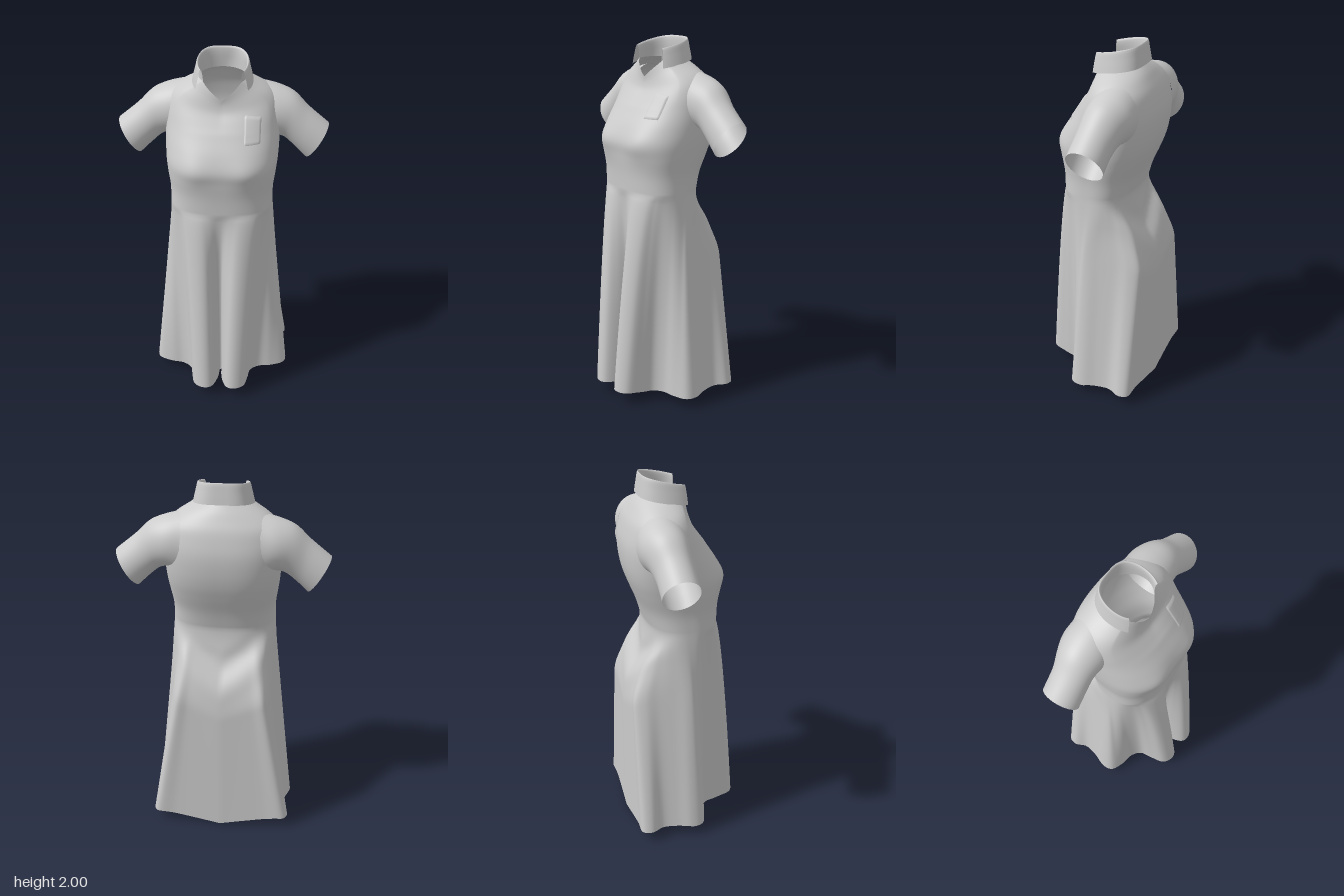
import * as THREE from 'three';

const material = new THREE.MeshStandardMaterial({ color: 0xcccccc, side: THREE.DoubleSide });
const { lerp, clamp, smoothstep } = THREE.MathUtils;
const gauss = (d, width) => Math.exp(-(d * d) / (width * width));

// Surface through fn(u, v) -> [x, y, z]; closed joins the last column to the first.
function surface(name, cols, rows, closed, fn) {
  const n = closed ? cols : cols + 1;
  const positions = [], index = [];
  for (let j = 0; j <= rows; j++)
    for (let i = 0; i < n; i++) positions.push(...fn(i / cols, j / rows));
  for (let j = 0; j < rows; j++)
    for (let i = 0; i < cols; i++) {
      const k = (i + 1) % n;
      const a = j * n + i, b = j * n + k, c = a + n, d = b + n;
      index.push(a, b, d, a, d, c);
    }
  const geometry = new THREE.BufferGeometry();
  geometry.setAttribute('position', new THREE.Float32BufferAttribute(positions, 3));
  geometry.setIndex(index);
  geometry.computeVertexNormals();
  const mesh = new THREE.Mesh(geometry, material);
  mesh.name = name;
  return mesh;
}

// Torso levels: height, half width, front z, back z, z of the widest point, squareness
const levels = [
  [1.20, 0.275, 0.195, -0.185, 0.00, 2.6],
  [1.30, 0.275, 0.20, -0.215, -0.01, 2.6],
  [1.40, 0.288, 0.211, -0.255, -0.03, 2.7],
  [1.47, 0.296, 0.217, -0.28, -0.055, 2.7],
  [1.55, 0.30, 0.187, -0.297, -0.09, 2.6],
  [1.65, 0.30, 0.125, -0.302, -0.12, 2.5],
  [1.72, 0.297, 0.088, -0.29, -0.13, 2.4],
  [1.78, 0.28, 0.058, -0.272, -0.13, 2.3],
  [1.82, 0.24, 0.048, -0.25, -0.115, 2.2],
  [1.86, 0.175, 0.044, -0.225, -0.10, 2.1],
  [1.89, 0.125, 0.045, -0.197, -0.07, 2],
];
const levelSpline = new THREE.CubicInterpolant(
  levels.map((l) => l[0]), levels.flatMap((l) => l.slice(1)), 5);
const WAIST = 1.2, NECK = 1.89, CHEST = 1.65;

// Fullness of the bust on either side of the centre
const bust = (x, y) => 0.014 * gauss(Math.abs(x) - 0.14, 0.08) * gauss(y - 1.47, 0.08);

// Point on the torso section; angle 0 is the front, increasing towards +x
function section(angle, y) {
  const [w, front, back, zc, n] = levelSpline.evaluate(clamp(y, WAIST, NECK));
  const s = Math.sin(angle), c = Math.cos(angle);
  const x = w * Math.sign(s) * Math.abs(s) ** (2 / n);
  const z = zc + (c > 0 ? front - zc : back - zc) * Math.abs(c) ** (2 / n);
  return [x, z + bust(x, y) * smoothstep(c, 0, 0.5)];
}

// The neckline drops to a V at the front
function neckDip(angle, y) {
  if (y < CHEST) return y;
  const a = Math.min(angle, 2 * Math.PI - angle);
  return CHEST + (y - CHEST) * (0.625 + 0.375 * Math.min(1, a / 0.9));
}

// Half outline of the hem (x, z) with its folds, from centre front to centre back
const hem = new THREE.SplineCurve([
  [0.004, 0.13], [0.012, 0.22], [0.04, 0.295], [0.09, 0.312], [0.145, 0.28], [0.165, 0.20],
  [0.178, 0.13], [0.23, 0.09], [0.30, 0.078], [0.375, 0.045], [0.39, -0.02], [0.365, -0.10],
  [0.355, -0.18], [0.385, -0.25], [0.36, -0.305], [0.26, -0.302], [0.13, -0.305], [0, -0.31],
].map(([x, z]) => new THREE.Vector2(x, z)));

function skirtPoint(u, v) {
  const side = u <= 0.5 ? 1 : -1;
  const half = u <= 0.5 ? u * 2 : 2 - u * 2;
  const angle = half * Math.PI;
  const s = Math.sin(angle), c = Math.cos(angle);
  const low = hem.getPoint(half);
  const [wx, wz] = section(angle, WAIST);
  // the back hem hangs lower in the middle
  const hemY = half > 0.6 ? 0.06 - 0.06 * Math.max(0, 1 - low.x / 0.33)
    : 0.055 + 0.015 * smoothstep(low.y, 0.13, 0.28);
  const y = lerp(hemY, WAIST, v);
  const t = 1 - v;
  // pleats gather quickly at the front, the sides flare evenly, the back swells below the waist
  const x = lerp(wx, low.x, t ** lerp(1, 0.45, clamp(c * 1.6, 0, 1)));
  const swell = smoothstep(t, 0.01, lerp(0.42, 0.3, s));
  const backness = clamp(-c * 2, 0, 1);
  let z = lerp(wz, low.y, lerp(t ** lerp(0.85, 0.6, Math.max(0, c)), swell, backness));
  // V-shaped drape across the back
  const d = y - (0.87 + 0.3 * s);
  z += backness * Math.min(1, t * 8) * (0.016 * gauss(d - 0.12, 0.07) - 0.014 * gauss(d, 0.08));
  return [side * x, y, z];
}

function torsoPoint(u, v) {
  const angle = u * 2 * Math.PI;
  const y = lerp(WAIST, NECK, v);
  const [x, z] = section(angle, y);
  return [x, neckDip(angle, y), z];
}

// Sleeve outline: top and bottom edges from shoulder to cuff
const path = (pts) => new THREE.CatmullRomCurve3(pts.map((p) => new THREE.Vector3(...p)));
const sleeveTop = path([[0.19, 1.838, -0.14], [0.29, 1.812, -0.14], [0.37, 1.777, -0.135],
  [0.45, 1.70, -0.125], [0.557, 1.61, -0.12]]);
const sleeveBottom = path([[0.22, 1.51, -0.14], [0.275, 1.54, -0.14], [0.32, 1.53, -0.135],
  [0.38, 1.48, -0.125], [0.44, 1.42, -0.12]]);

function sleevePoint(side) {
  return (u, v) => {
    const a = u * 2 * Math.PI * side;
    const top = sleeveTop.getPoint(v), bottom = sleeveBottom.getPoint(v);
    const p = bottom.lerp(top, 0.5 + 0.5 * Math.cos(a));
    const depth = lerp(0.128, 0.098, smoothstep(v, 0.1, 0.8));
    return [side * p.x, p.y, p.z + depth * Math.sin(a)];
  };
}

// Folded collar: outer edge up over the fold and down to the neckline
function collarPoint(u, v) {
  const start = 0.85;
  const angle = lerp(start, 2 * Math.PI - start, u);
  const back = 0.5 - 0.5 * Math.cos(angle);
  const s = Math.sin(angle), c = Math.cos(angle);
  const ring = (rx, rz, y) => new THREE.Vector3(
    rx * Math.sign(s) * Math.abs(s) ** 0.6, y, -0.07 + rz * c);
  const profile = new THREE.CatmullRomCurve3([
    ring(0.157, 0.142, lerp(1.845, 1.893, back)),
    ring(0.143, 0.134, lerp(1.905, 1.95, back)),
    ring(0.13, 0.124, lerp(1.945, 2.0, back)),
    ring(0.122, 0.117, lerp(1.935, 1.99, back)),
    new THREE.Vector3(0.124 * s, neckDip(angle, NECK) - 0.005, -0.07 + (c > 0 ? 0.115 : 0.125) * c),
  ]);
  return profile.getPoint(v).toArray();
}

// Pocket laid on the chest, its border sunk to the cloth
function pocketPoint(u, v) {
  const x = lerp(0.118, 0.205, u);
  const y = lerp(1.6, 1.735, v) - 0.012 * u * v;
  const dip = 0.625 + 0.375 * Math.min(1, Math.asin(x / 0.3) / 0.9);
  const level = y < CHEST ? y : CHEST + (y - CHEST) / dip;
  const [w, front, , zc, n] = levelSpline.evaluate(level);
  const z = zc + (front - zc) * (1 - (x / w) ** n) ** (1 / n) + bust(x, y);
  const border = u === 0 || u === 1 || v === 0 || v === 1;
  return [x, y, z + (border ? -0.003 : 0.005)];
}

export function createModel() {
  const dress = new THREE.Group();
  dress.name = 'dress';
  // Skirt and torso share one surface, split at the waist row
  const split = 0.55;
  dress.add(surface('bodiceAndSkirt', 180, 100, true, (u, v) =>
    v < split ? skirtPoint(u, v / split) : torsoPoint(u, (v - split) / (1 - split))));
  for (const side of [1, -1])
    dress.add(surface(side > 0 ? 'leftSleeve' : 'rightSleeve', 40, 24, true, sleevePoint(side)));
  dress.add(surface('collar', 64, 16, false, collarPoint));
  dress.add(surface('chestPocket', 14, 14, false, pocketPoint));
  return dress;
}
